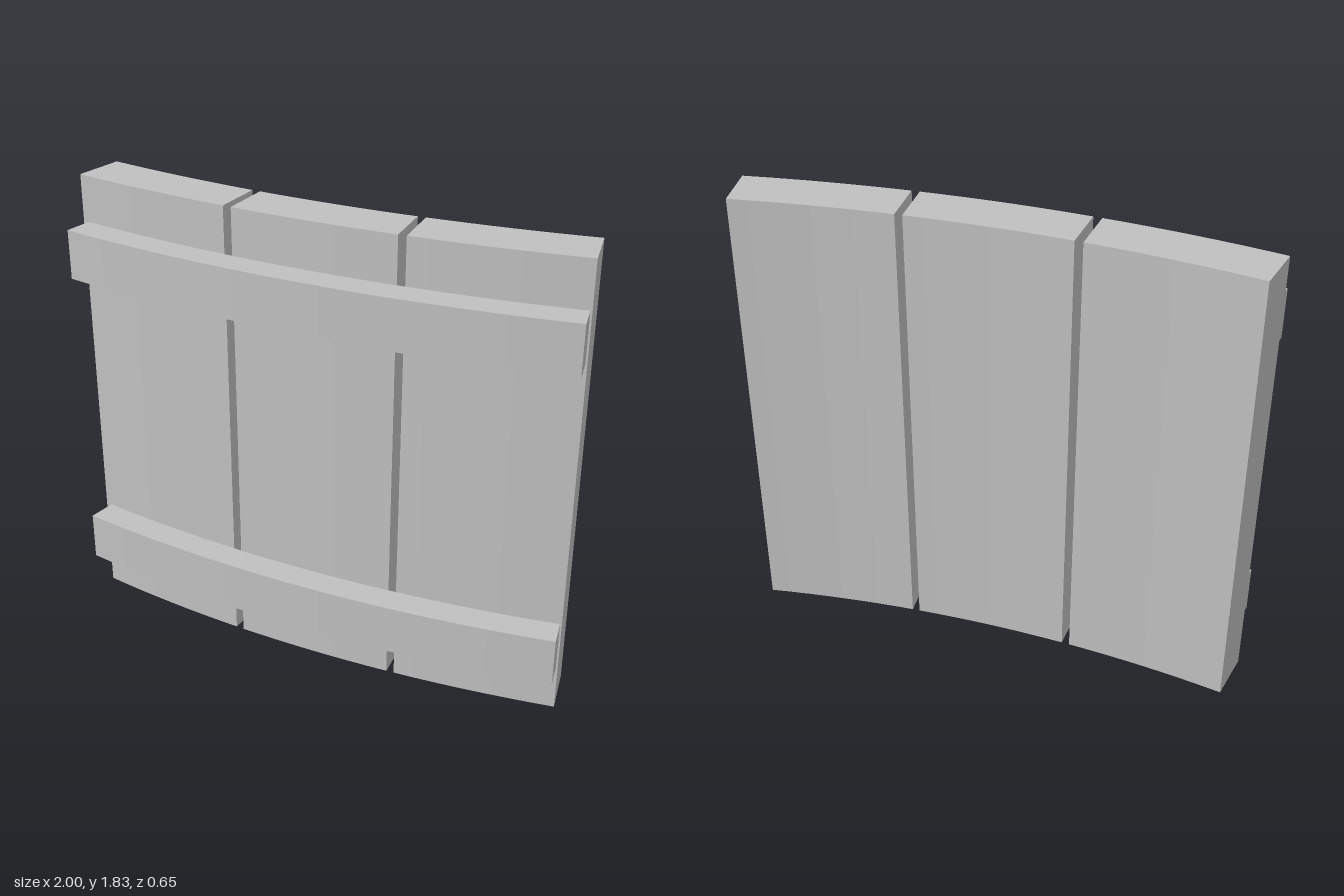
import * as THREE from 'three';

// Centre of the curve in plan; angles run from the +x end towards -x
const CX = 0.997, CZ = -5.56;
const R_BACK = 5.57, R_FRONT = 5.77, R_BATTEN = 5.885;

// Block following the arc between two radii and two angles, from y0 to y1
function curvedBlock(rIn, rOut, a0, a1, y0, y1, segments) {
  const at = (r, a) => new THREE.Vector2(CX - r * Math.sin(a), -(CZ + r * Math.cos(a)));
  const outer = [], inner = [];
  for (let i = 0; i <= segments; i++) {
    const a = a0 + (a1 - a0) * i / segments;
    outer.push(at(rOut, a));
    inner.unshift(at(rIn, a));
  }
  const geometry = new THREE.ExtrudeGeometry(new THREE.Shape([...outer, ...inner]), {
    depth: y1 - y0, bevelEnabled: false,
  });
  geometry.rotateX(-Math.PI / 2);
  geometry.translate(0, y0, 0);
  return geometry;
}

export function createModel() {
  const group = new THREE.Group();
  group.name = 'curvedPlankPanel';
  const grey = new THREE.MeshStandardMaterial({ color: 0xc0c0c0 });
  grey.name = 'light grey';

  const add = (name, geometry) => {
    const mesh = new THREE.Mesh(geometry, grey);
    mesh.name = name;
    group.add(mesh);
  };

  // Three upright planks with narrow gaps between them
  const planks = [
    ['leftPlank', 0, 0.1115],
    ['middlePlank', 0.1168, 0.229],
    ['rightPlank', 0.2347, 0.3507],
  ];
  for (const [name, a0, a1] of planks) {
    add(name, curvedBlock(R_BACK, R_FRONT, a0, a1, 0, 1.83, 8));
  }

  // Two horizontal battens across the front
  for (const [name, y0] of [['lowerBatten', 0.188], ['upperBatten', 1.449]]) {
    add(name, curvedBlock(R_FRONT, R_BATTEN, 0.0012, 0.3462, y0, y0 + 0.197, 24));
  }
  return group;
}
